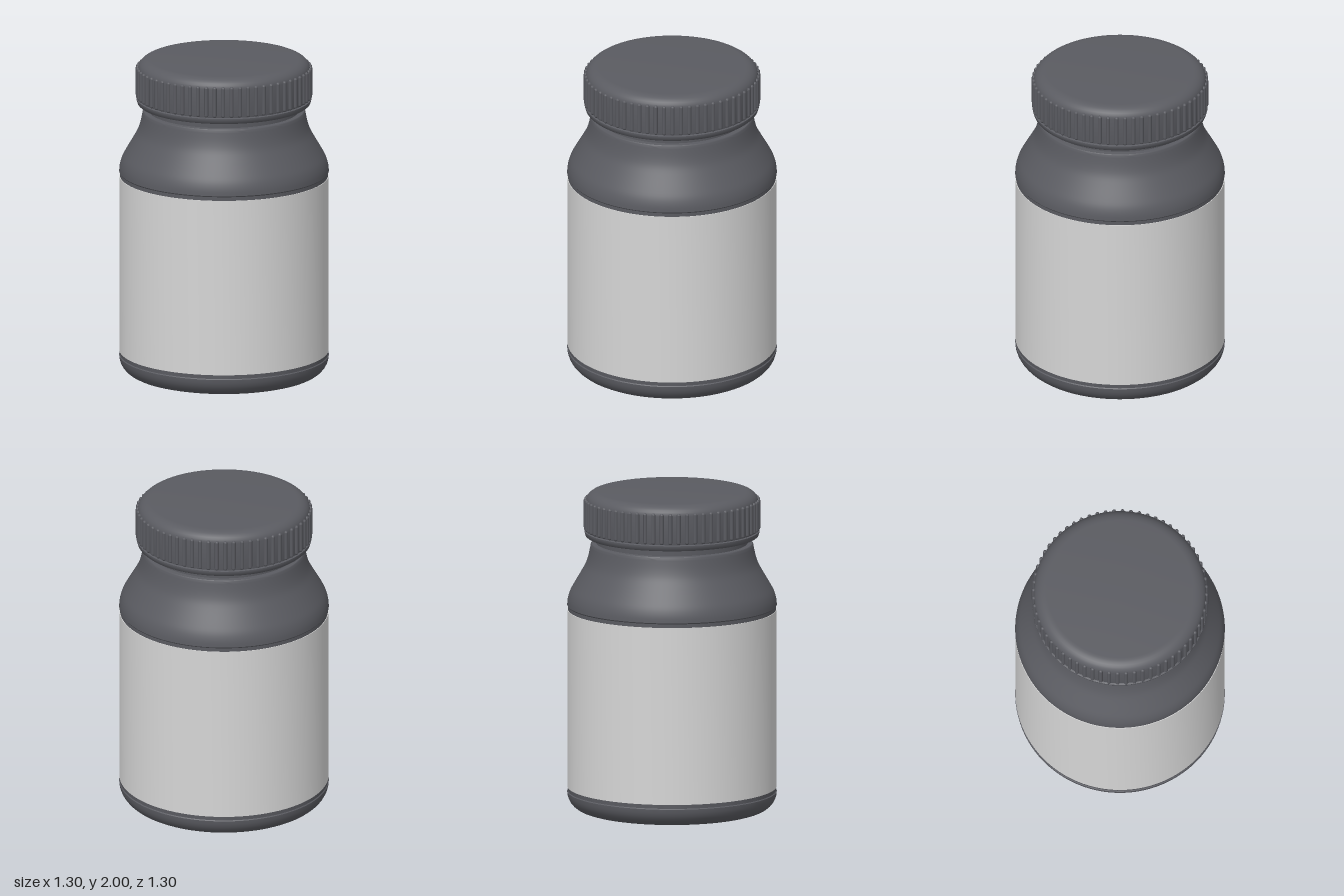
import * as THREE from 'three';
import { toCreasedNormals } from 'three/addons/utils/BufferGeometryUtils.js';

const SEGMENTS = 96;
const RIBS = 64;

const plastic = new THREE.MeshStandardMaterial({ color: 0x5a5b61 });
plastic.name = 'dark grey plastic';
const paper = new THREE.MeshStandardMaterial({ color: 0xd6d6d6 });
paper.name = 'light label paper';

// Revolved part: [radius, height] pairs running from bottom to top
function turned(name, profile, material) {
  const points = profile.map(([r, y]) => new THREE.Vector2(r, y));
  const geometry = toCreasedNormals(new THREE.LatheGeometry(points, SEGMENTS), 0.6);
  const mesh = new THREE.Mesh(geometry, material);
  mesh.name = name;
  return mesh;
}

// Quarter-round points about a centre, between two angles
function arc(cx, cy, rx, ry, from, to, steps = 8) {
  return Array.from({ length: steps + 1 }, (_, i) => {
    const a = from + (to - from) * i / steps;
    return [cx + rx * Math.cos(a), cy + ry * Math.sin(a)];
  });
}

export function createModel() {
  const model = new THREE.Group();
  model.name = 'jar';

  // Bottle: rounded base, recessed label wall, sloping shoulder and neck
  const shoulder = new THREE.SplineCurve([
    [0.648, 1.287], [0.644, 1.325], [0.63, 1.37], [0.603, 1.42], [0.565, 1.485],
    [0.535, 1.54], [0.518, 1.59], [0.507, 1.64], [0.502, 1.667],
  ].map(([r, y]) => new THREE.Vector2(r, y))).getPoints(24).map(p => [p.x, p.y]);
  model.add(turned('bottle', [
    [0, 0],
    ...arc(0.533, 0.115, 0.115, 0.115, -Math.PI / 2, 0),
    [0.643, 0.12], [0.643, 1.28],
    ...shoulder,
    [0.497, 1.674], [0.468, 1.676], [0.468, 1.73],
  ], plastic));

  // Label wrapped around the wall
  model.add(turned('label', [
    [0.643, 0.145], [0.647, 0.145], [0.647, 1.257], [0.643, 1.257],
  ], paper));

  // Cap: shell, grip ribs and the sealing ring below
  const cap = new THREE.Group();
  cap.name = 'cap';
  cap.add(turned('capShell', [
    [0.46, 1.756], [0.531, 1.756], [0.533, 1.765], [0.533, 1.935],
    ...arc(0.453, 1.935, 0.08, 0.065, 0, Math.PI / 2),
    [0, 2],
  ], plastic));
  cap.add(turned('sealingRing', [
    [0.46, 1.718], [0.528, 1.718], [0.535, 1.724], [0.541, 1.745],
    [0.541, 1.752], [0.53, 1.757], [0.46, 1.757],
  ], plastic));

  const ribGeometry = new THREE.CapsuleGeometry(0.013, 0.171, 3, 8);
  const ribs = new THREE.Group();
  ribs.name = 'gripRibs';
  for (let i = 0; i < RIBS; i++) {
    const angle = i / RIBS * Math.PI * 2;
    const rib = new THREE.Mesh(ribGeometry, plastic);
    rib.name = 'gripRib';
    rib.position.set(0.533 * Math.sin(angle), 1.856, 0.533 * Math.cos(angle));
    rib.rotation.y = angle;
    ribs.add(rib);
  }
  cap.add(ribs);
  model.add(cap);
  return model;
}
